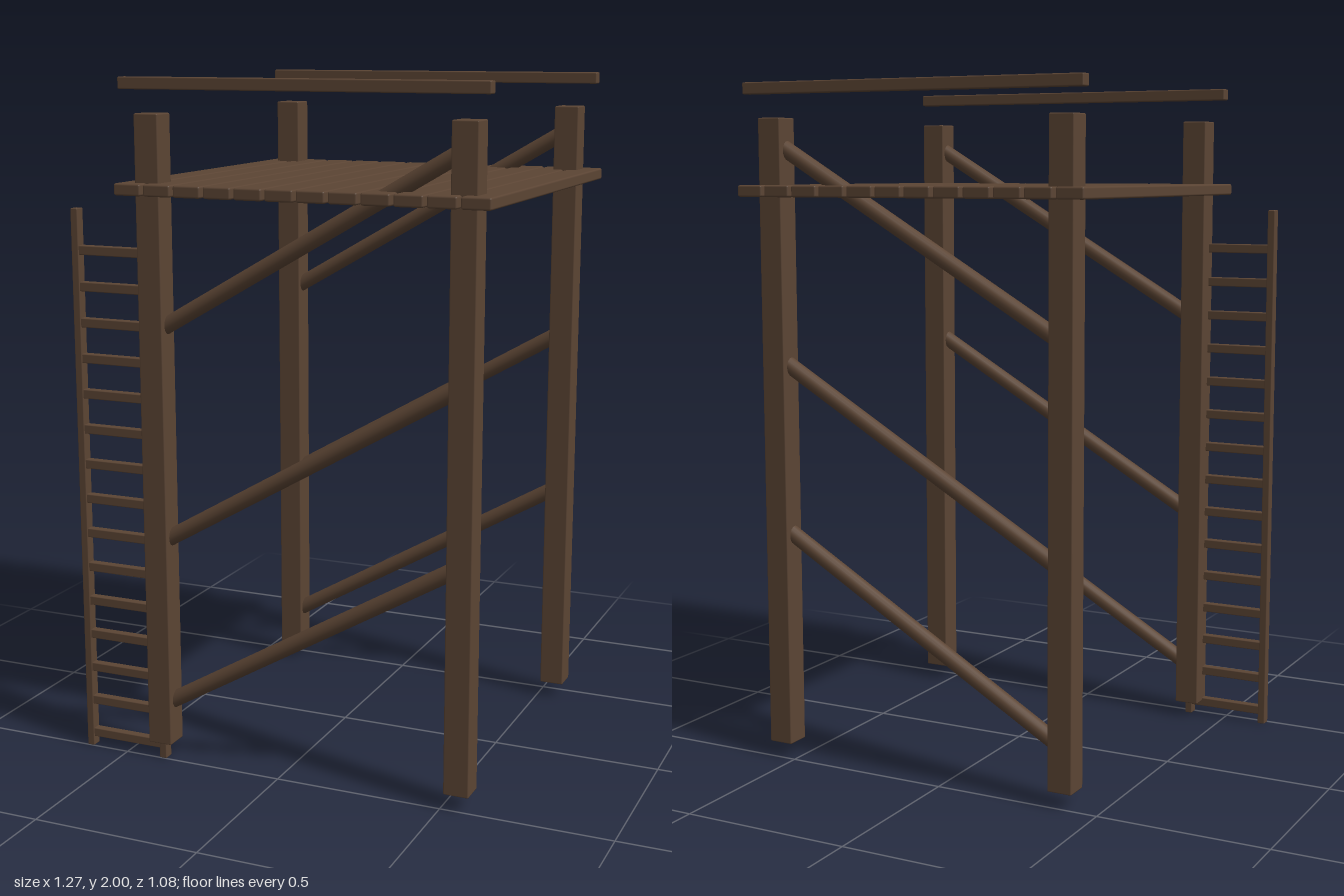
import * as THREE from 'three';
import { RoundedBoxGeometry } from 'three/addons/geometries/RoundedBoxGeometry.js';

const wood = new THREE.MeshStandardMaterial({ color: 0x5c4534 });
wood.name = 'brown wood';

// Timber with slightly eased edges, centred on (x, y, z)
function beam(name, w, h, d, x, y, z, bevel = 0.004) {
  const mesh = new THREE.Mesh(new RoundedBoxGeometry(w, h, d, 1, bevel), wood);
  mesh.name = name;
  mesh.position.set(x, y, z);
  return mesh;
}

// Round pole between two points
function pole(name, a, b, radius) {
  const dir = b.clone().sub(a);
  const mesh = new THREE.Mesh(new THREE.CylinderGeometry(radius, radius, dir.length(), 16), wood);
  mesh.name = name;
  mesh.position.copy(a).add(b).multiplyScalar(0.5);
  mesh.quaternion.setFromUnitVectors(new THREE.Vector3(0, 1, 0), dir.normalize());
  return mesh;
}

export function createModel() {
  const model = new THREE.Group();
  model.name = 'watchtower';

  const rightX = -0.386, leftX = 0.547;
  for (const side of [1, -1]) {
    const end = side > 0 ? 'front' : 'back';
    const z = side * 0.465;

    // Corner posts
    for (const x of [rightX, leftX]) {
      model.add(beam(end + 'Post', 0.075, 1.855, 0.075, x, 0.9725, z));
    }

    // Slanting braces, running into the posts
    for (const y of [0.43, 0.932, 1.557]) {
      const a = new THREE.Vector3(-0.362, y - 0.257, side * 0.462);
      const b = new THREE.Vector3(0.522, y + 0.257, side * 0.462);
      model.add(pole(end + 'Brace', a, b, 0.024));
    }

    // Hand rail above the posts
    model.add(beam(end + 'HandRail', 1.082, 0.034, 0.036, 0.081, 1.983, side * 0.505));
  }

  // Deck planks
  for (let i = 0; i < 12; i++) {
    model.add(beam('deckPlank', 0.084, 0.034, 1.08, -0.429 + i * 0.0928, 1.692, 0, 0.006));
  }

  // Ladder beside the front right post
  const ladder = new THREE.Group();
  ladder.name = 'ladder';
  for (const x of [-0.627, -0.378]) {
    ladder.add(beam('ladderRail', 0.023, 1.63, 0.032, x, 0.815, 0.484, 0.003));
  }
  for (let i = 0; i < 15; i++) {
    ladder.add(beam('ladderRung', 0.249, 0.027, 0.026, -0.5025, 0.042 + i * 0.1049, 0.484, 0.003));
  }
  model.add(ladder);

  return model;
}
